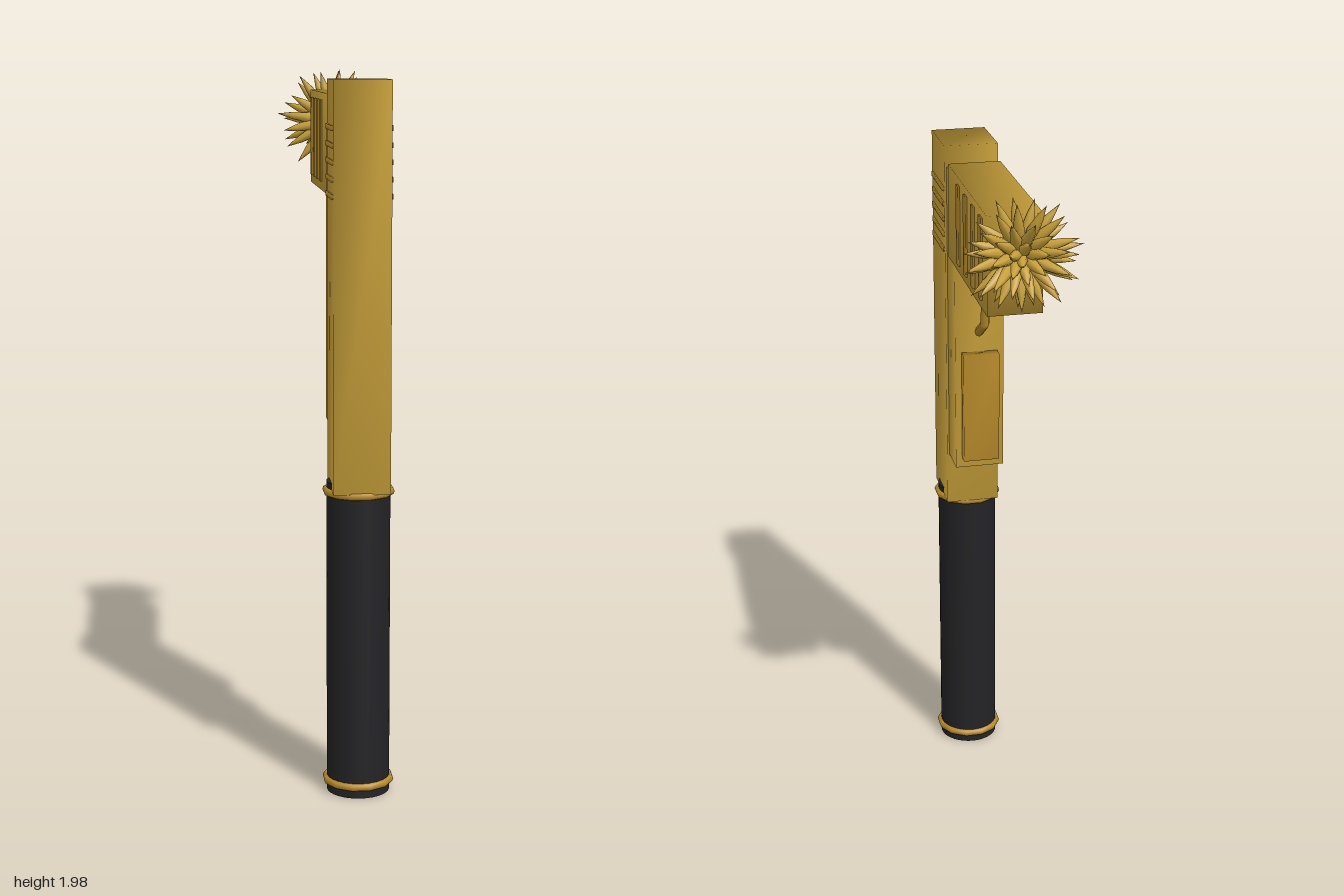
import * as THREE from 'three';
import { mergeVertices } from 'three/addons/utils/BufferGeometryUtils.js';

const CX = 0.005; // shared centre line of the body

export function createModel() {
  const model = new THREE.Group();
  const gold = new THREE.MeshStandardMaterial({ color: 0xc9a13b });
  gold.name = 'gold';
  const trim = new THREE.MeshStandardMaterial({ color: 0xb78a2b });
  trim.name = 'dark gold';
  const black = new THREE.MeshStandardMaterial({ color: 0x232325 });
  black.name = 'black';

  const add = (name, geometry, material, x = 0, y = 0, z = 0) => {
    const mesh = new THREE.Mesh(geometry, material);
    mesh.name = name;
    mesh.position.set(x, y, z);
    model.add(mesh);
    return mesh;
  };

  // Box given by its y and z limits, with shared corner normals for soft shading
  const softBox = (name, width, y0, y1, z0, z1, material, x = CX) => {
    let g = new THREE.BoxGeometry(width, y1 - y0, z1 - z0);
    g.deleteAttribute('normal');
    g.deleteAttribute('uv');
    g = mergeVertices(g);
    g.computeVertexNormals();
    return add(name, g, material, x, (y0 + y1) / 2, (z0 + z1) / 2);
  };

  // Main bodies
  softBox('slide', 0.155, 0.86, 1.96, 0.27, 0.455, gold);
  softBox('frame', 0.142, 1.02, 1.9, 0.165, 0.272, gold);
  softBox('gripBlock', 0.15, 1.65, 1.92, -0.295, 0.228, gold);
  softBox('backPlate', 0.105, 1.05, 1.38, 0.135, 0.17, trim);

  // Raised ribs on both sides
  for (const side of [-1, 1]) {
    for (let i = 0; i < 5; i++) {
      const y = 1.657 + i * 0.0445;
      softBox('slideRib', 0.012, y - 0.007, y + 0.007, 0.278, 0.443, trim, CX + side * 0.0755);
    }
    for (let i = 0; i < 4; i++) {
      const z = 0.076 - i * 0.099;
      softBox('gripRib', 0.014, 1.675, 1.9, z - 0.016, z + 0.016, trim, CX + side * 0.0735);
    }
  }

  // Bent rod made of straight segments
  const rod = (name, points, radius) => {
    const path = new THREE.CurvePath();
    const v = points.map(([y, z]) => new THREE.Vector3(CX, y, z));
    for (let i = 1; i < v.length; i++) path.add(new THREE.LineCurve3(v[i - 1], v[i]));
    add(name, new THREE.TubeGeometry(path, 24, radius, 8), trim);
  };
  rod('triggerGuard', [[1.67, 0.135], [1.6, 0.068], [1.49, 0.088], [1.435, 0.175]], 0.013);
  rod('trigger', [[1.61, 0.175], [1.6, 0.145], [1.582, 0.105]], 0.016);

  // Handle with two rings
  add('handle', new THREE.CylinderGeometry(0.0875, 0.0875, 0.882, 32), black, 0.004, 0.441, 0.365);
  for (const y of [0.032, 0.855]) {
    const ring = new THREE.TorusGeometry(0.089, 0.011, 8, 12);
    ring.rotateZ(Math.PI / 12);
    ring.rotateX(Math.PI / 2);
    add('handleRing', ring, trim, 0.004, y, 0.365);
  }

  // Spiky burst on the back end
  const core = new THREE.SphereGeometry(0.055, 16, 10);
  add('burstCore', core, gold, 0, 1.83, -0.3);
  const profile = [[0.004, 0], [0.012, 0.25], [0.0165, 0.45], [0.011, 0.72], [0, 1]]
    .map(([r, t]) => new THREE.Vector2(r, t));
  const spike = new THREE.LatheGeometry(profile, 7);
  const up = new THREE.Vector3(0, 1, 0);
  let seed = 7;
  const random = () => (seed = (seed * 16807) % 2147483647) / 2147483647;
  const rows = [[6, 1, 0.125], [24, 6, 0.137], [45, 11, 0.155], [67, 15, 0.164], [87, 17, 0.162]];
  rows.forEach(([tilt, count, reach], row) => {
    for (let i = 0; i < count; i++) {
      const a = ((i + (row % 2) * 0.5) / count) * Math.PI * 2 + (random() - 0.5) * 0.15;
      const t = THREE.MathUtils.degToRad(tilt + (random() - 0.5) * 8);
      const dir = new THREE.Vector3(Math.sin(t) * Math.cos(a), Math.sin(t) * Math.sin(a), -Math.cos(t));
      const mesh = add('spike', spike, gold, 0, 1.828, -0.328);
      mesh.quaternion.setFromUnitVectors(up, dir);
      mesh.scale.y = reach * (0.9 + random() * 0.14);
    }
  });

  return model;
}
